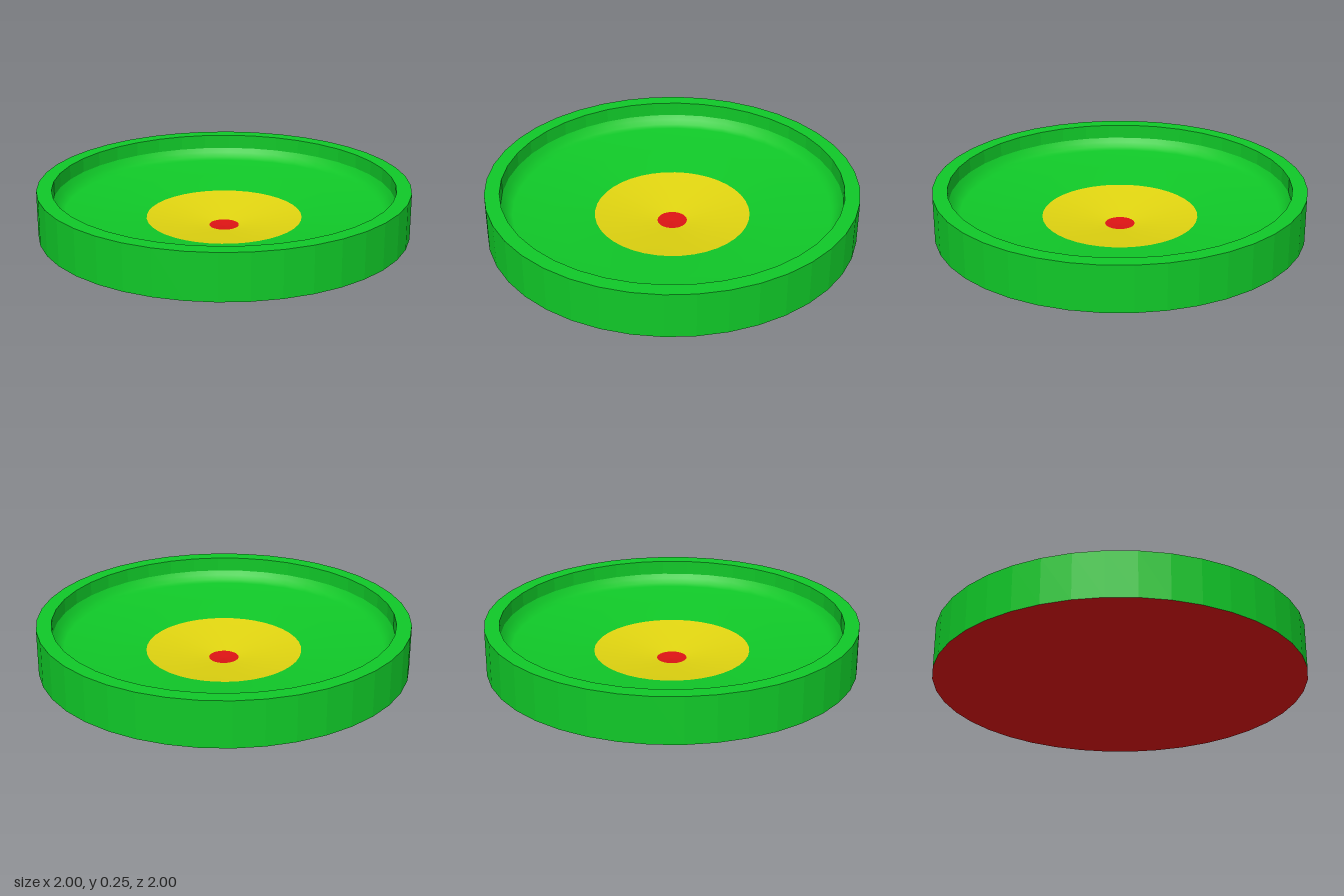
import * as THREE from 'three';

const SEGMENTS = 40;

// Revolve a short [radius, height] profile into a named part
function revolve(name, profile, color, flat) {
  const points = profile.map(([r, y]) => new THREE.Vector2(r, y));
  let geometry = new THREE.LatheGeometry(points, SEGMENTS);
  if (flat) {
    geometry = geometry.toNonIndexed();
    geometry.computeVertexNormals();
  }
  const mesh = new THREE.Mesh(geometry, new THREE.MeshStandardMaterial({ color }));
  mesh.name = name;
  return mesh;
}

export function createModel() {
  const green = 0x10c828, yellow = 0xe0d410, red = 0xdc1414;
  const group = new THREE.Group();
  group.name = 'dish';

  // Faceted outer wall, flat rim and upright inner wall
  group.add(revolve('rim', [[1, 0], [1, 0.25], [0.92, 0.25], [0.92, 0.17]], green, true));

  // Smooth rounded corner running into the shallow sloping floor
  group.add(revolve('floor', [
    [0.92, 0.17], [0.905, 0.146], [0.885, 0.124], [0.86, 0.11],
    [0.64, 0.09], [0.42, 0.066],
  ], green, false));

  // Steeper middle ring and the centre spot
  group.add(revolve('middleRing', [[0.42, 0.066], [0.25, 0.038], [0.08, 0.014]], yellow, false));
  group.add(revolve('centreSpot', [[0.08, 0.014], [0, 0.008]], red, false));

  // Flat underside
  group.add(revolve('base', [[0, 0], [1, 0]], red, true));

  return group;
}
